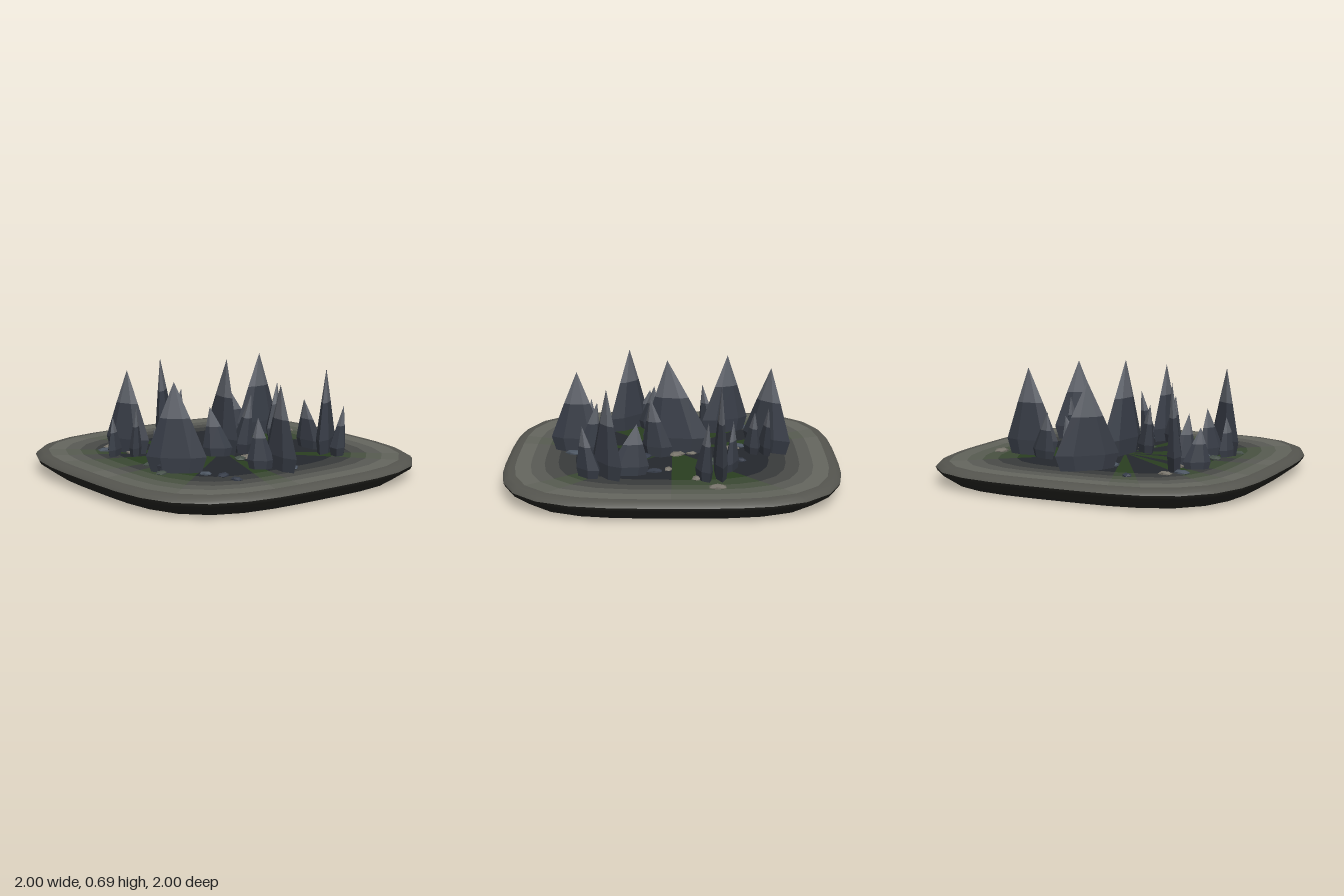
import * as THREE from 'three';
import { mergeVertices } from 'three/addons/utils/BufferGeometryUtils.js';

const SEG = 36, TOP = 0.12;

// Skins stacked rings of points (listed from the top outward and down).
function skin(rings, smooth = false, keep = () => true) {
  const pos = [], n = rings[0].length;
  for (let r = 0; r < rings.length - 1; r++) {
    for (let i = 0; i < n; i++) {
      if (!keep(i)) continue;
      const j = (i + 1) % n;
      const a = rings[r][i], b = rings[r + 1][i], c = rings[r + 1][j], d = rings[r][j];
      if (a !== d) pos.push(...a, ...d, ...c);
      if (b !== c) pos.push(...a, ...c, ...b);
    }
  }
  let geo = new THREE.BufferGeometry();
  geo.setAttribute('position', new THREE.Float32BufferAttribute(pos, 3));
  if (smooth) geo = mergeVertices(geo);
  geo.computeVertexNormals();
  return geo;
}

function addMesh(parent, name, geo, color, flatShading = false) {
  const mesh = new THREE.Mesh(geo, new THREE.MeshStandardMaterial({ color, flatShading }));
  mesh.name = name;
  parent.add(mesh);
  return mesh;
}

// Rounded-square outline, scaled by s, at height y.
function outline(s, y) {
  if (s === 0) return Array(SEG).fill([0, y, 0]);
  return Array.from({ length: SEG }, (_, i) => {
    const a = (i / SEG) * Math.PI * 2, c = Math.cos(a), k = Math.sin(a);
    const r = s * (Math.abs(c) ** 3.5 + Math.abs(k) ** 3.5) ** (-1 / 3.5);
    return [r * c, y, r * k];
  });
}

function buildGround() {
  const g = new THREE.Group();
  g.name = 'ground';
  // Top: dark earth and moss sectors fading to a grey border
  const mossy = new Set([1, 5, 6, 7, 9, 10, 12, 15, 23, 24, 25, 26, 31]);
  const earth = new THREE.Color(0x25282d), moss = new THREE.Color(0x2a3f20), border = new THREE.Color(0x65665f);
  const steps = [0, 0.58, 0.68, 0.76, 0.84, 0.93];
  for (let b = 0; b < steps.length - 1; b++) {
    const rings = [outline(steps[b], TOP), outline(steps[b + 1], TOP)];
    const fade = [0, 0.2, 0.45, 0.75, 1][b];
    addMesh(g, 'earth', skin(rings, true, i => !mossy.has(i)), earth.clone().lerp(border, fade));
    addMesh(g, 'moss', skin(rings, true, i => mossy.has(i)), moss.clone().lerp(border, fade * 0.9));
  }
  // Rim, tapering side and underside
  addMesh(g, 'rim', skin([outline(0.93, TOP), outline(0.965, 0.118), outline(0.99, 0.105), outline(1, 0.09)], true), 0x55554f);
  addMesh(g, 'side', skin([outline(1, 0.09), outline(0.99, 0.068), outline(0.9, 0)], true), 0x272723);
  addMesh(g, 'underside', skin([outline(0.9, 0), outline(0, 0)], true), 0x141412);
  return g;
}

// Flattened six-sided shard: ends of its widest section, thickness, apex.
function buildShard([x0, z0, x1, z1, thick, ax, ay, az]) {
  const g = new THREE.Group();
  g.name = 'shard';
  const cx = (x0 + x1) / 2, cz = (z0 + z1) / 2;
  const ux = (x1 - x0) / 2, uz = (z1 - z0) / 2, half = Math.hypot(ux, uz);
  const t = thick / 2 / 0.866 / half;
  const ring = (f, scale) => Array.from({ length: 6 }, (_, i) => {
    const a = (i / 6) * Math.PI * 2, c = Math.cos(a) * scale, s = Math.sin(a) * scale * t;
    const lean = Math.max(0, f - 0.17) / 0.83;
    return [
      cx + (ax - cx) * lean + ux * c - uz * s,
      TOP + (ay - TOP) * f,
      cz + (az - cz) * lean + uz * c + ux * s,
    ];
  });
  const shoulder = ring(0.6, 0.5);
  const apex = Array(6).fill([ax, ay, az]);
  const foot = ring(-0.06, 0.78);
  addMesh(g, 'shardTip', skin([apex, shoulder]), 0x62666e, true);
  addMesh(g, 'shardBody', skin([shoulder, ring(0.17, 1), foot]), 0x393e48, true);
  return g;
}

// Each cluster: one tall shard and two shorter ones
const CLUSTERS = {
  centreCluster: [
    [-0.23, -0.04, 0.18, 0.02, 0.1, 0.03, 0.69, -0.01],
    [0.0, -0.12, 0.18, -0.05, 0.1, 0.13, 0.48, -0.12],
    [0.03, 0.17, 0.14, 0.03, 0.07, 0.06, 0.42, 0.14],
  ],
  rightCluster: [
    [-0.71, -0.1, -0.44, 0.17, 0.08, -0.6, 0.63, 0.05],
    [-0.59, -0.13, -0.53, 0.05, 0.05, -0.58, 0.42, -0.1],
    [-0.52, -0.1, -0.45, 0.07, 0.07, -0.5, 0.38, -0.05],
  ],
  leftCluster: [
    [0.42, 0.0, 0.74, 0.03, 0.08, 0.58, 0.61, 0.02],
    [0.43, -0.05, 0.57, -0.1, 0.09, 0.45, 0.45, -0.1],
    [0.45, 0.16, 0.55, 0.04, 0.08, 0.5, 0.42, 0.12],
  ],
  backLeftCluster: [
    [0.28, -0.64, 0.46, -0.38, 0.08, 0.37, 0.63, -0.51],
    [0.13, -0.48, 0.36, -0.5, 0.05, 0.2, 0.42, -0.48],
    [0.41, -0.58, 0.55, -0.44, 0.09, 0.51, 0.42, -0.53],
  ],
  backRightCluster: [
    [-0.29, -0.66, -0.27, -0.32, 0.07, -0.285, 0.65, -0.51],
    [-0.39, -0.28, -0.31, -0.47, 0.05, -0.36, 0.4, -0.34],
    [-0.22, -0.65, -0.15, -0.47, 0.07, -0.21, 0.46, -0.6],
  ],
  frontRightCluster: [
    [-0.48, 0.53, -0.19, 0.41, 0.08, -0.35, 0.62, 0.46],
    [-0.33, 0.52, -0.25, 0.66, 0.05, -0.28, 0.36, 0.61],
    [-0.28, 0.43, -0.17, 0.54, 0.06, -0.19, 0.42, 0.5],
  ],
  frontLeftCluster: [
    [0.17, 0.67, 0.4, 0.41, 0.08, 0.28, 0.64, 0.55],
    [0.06, 0.46, 0.22, 0.55, 0.05, 0.12, 0.41, 0.49],
    [0.09, 0.58, 0.26, 0.63, 0.05, 0.15, 0.36, 0.6],
  ],
};

// Pebbles by colour: x, z, radius
const PEBBLES = {
  0x77736a: [[-0.26, -0.72, 0.05], [0.02, -0.39, 0.03], [-0.11, -0.05, 0.04], [-0.03, -0.08, 0.05], [0.23, -0.01, 0.05],
    [-0.36, 0.06, 0.055], [-0.51, 0.49, 0.04], [-0.29, 0.47, 0.045], [-0.15, -0.56, 0.04]],
  0x4c5561: [[-0.4, 0.11, 0.05], [-0.44, 0.56, 0.05], [0.6, -0.05, 0.05], [0.43, 0.44, 0.035], [0.09, 0.49, 0.035]],
  0x363c48: [[0.1, -0.42, 0.045], [0.16, -0.12, 0.05], [-0.41, -0.2, 0.035], [-0.65, 0.32, 0.035], [0.52, 0.38, 0.04], [0.64, 0.38, 0.035]],
  0x465049: [[-0.21, -0.27, 0.045], [-0.24, -0.21, 0.035], [0.24, 0.05, 0.045], [0.06, 0.56, 0.05], [0.27, 0.63, 0.04]],
};

export function createModel() {
  const model = new THREE.Group();
  model.name = 'shardField';
  model.add(buildGround());

  for (const [name, shards] of Object.entries(CLUSTERS)) {
    const cluster = new THREE.Group();
    cluster.name = name;
    shards.forEach(s => cluster.add(buildShard(s)));
    model.add(cluster);
  }

  const pebbles = new THREE.Group();
  pebbles.name = 'pebbles';
  for (const [color, list] of Object.entries(PEBBLES)) {
    list.forEach(([x, z, r], i) => {
      const p = addMesh(pebbles, 'pebble', new THREE.IcosahedronGeometry(1, 0), Number(color), true);
      p.scale.set(r * 1.1, 0.016, r * 0.85);
      p.rotation.y = i * 1.3;
      p.position.set(x, TOP + 0.003, z);
    });
  }
  model.add(pebbles);
  return model;
}
